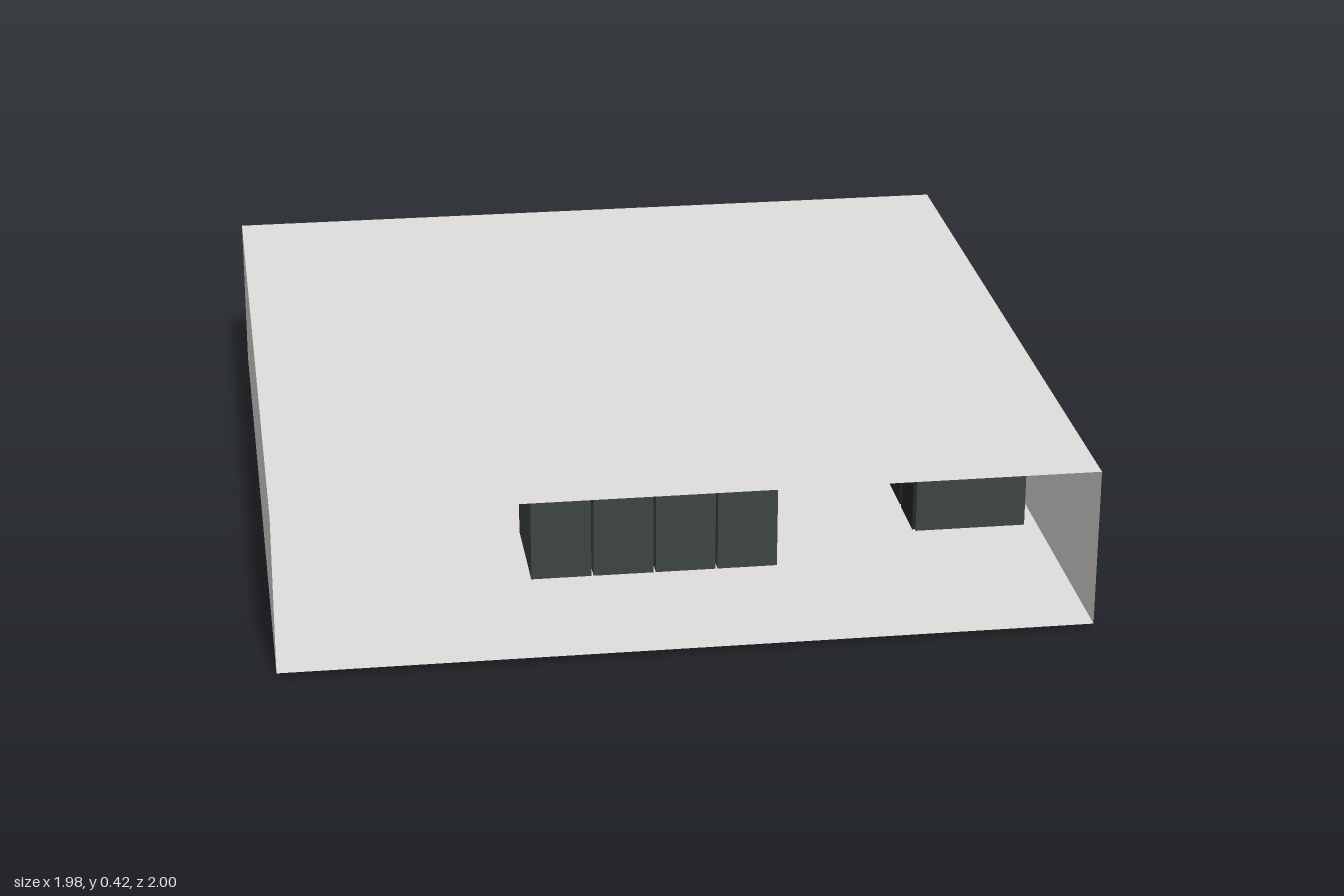
import * as THREE from 'three';

const wallMat = new THREE.MeshStandardMaterial({ color: 0xe1dfdd, side: THREE.DoubleSide });
wallMat.name = 'paleGrey';
const rackMat = new THREE.MeshStandardMaterial({ color: 0x3e4445 });
rackMat.name = 'charcoal';
const trimMat = new THREE.MeshStandardMaterial({ color: 0x26292a });
trimMat.name = 'nearBlack';
const knobMat = new THREE.MeshStandardMaterial({ color: 0x6a6a6a });
knobMat.name = 'midGrey';

const FLOOR = 0.016, TOP = 0.42, HALF_X = 0.99;
const RACK_Y = FLOOR + 0.004; // cabinets stand just clear of the floor sheet
const PITCH = 0.1567;

function box(name, w, h, d, x, y, z, mat) {
  const m = new THREE.Mesh(new THREE.BoxGeometry(w, h, d), mat);
  m.name = name;
  m.position.set(x, y, z);
  return m;
}

function panel(name, w, h, x, y, z, rx, ry) {
  const m = new THREE.Mesh(new THREE.PlaneGeometry(w, h), wallMat);
  m.name = name;
  m.position.set(x, y, z);
  m.rotation.set(rx, ry, 0);
  return m;
}

// One equipment cabinet, door towards +z, origin at floor centre
function rack(name) {
  const g = new THREE.Group();
  g.name = name;
  const w = 0.151, h = 0.295, d = 0.285;
  g.add(box('cabinet', w, h, d, 0, h / 2, 0, rackMat));
  g.add(box('door', w - 0.012, h - 0.02, 0.008, 0, h / 2 - 0.008, d / 2 + 0.004, trimMat));
  return g;
}

// A straight row of cabinets
function rackRow(name, count, x, z, dx, dz, turn) {
  const row = new THREE.Group();
  row.name = name;
  for (let i = 0; i < count; i++) {
    const r = rack('rack');
    r.position.set(x + i * dx, RACK_Y, z + i * dz);
    r.rotation.y = turn;
    row.add(r);
  }
  return row;
}

export function createModel() {
  const model = new THREE.Group();
  model.name = 'equipmentRoom';

  // Room shell, open at the front
  const H = TOP - FLOOR, midY = (TOP + FLOOR) / 2, W = HALF_X * 2;
  const room = new THREE.Group();
  room.name = 'room';
  room.add(panel('floor', W, 2, 0, FLOOR, 0, -Math.PI / 2, 0));
  room.add(panel('ceiling', W, 2, 0, TOP, 0, -Math.PI / 2, 0));
  room.add(panel('backWall', W, H, 0, midY, -1, 0, Math.PI));
  for (const s of [-1, 1]) {
    room.add(panel(s > 0 ? 'leftWall' : 'rightWall', 2, H, s * HALF_X, midY, 0, 0, s * Math.PI / 2));
  }
  model.add(room);

  // Front row with plain panels outward, then two rows with doors facing -x
  model.add(rackRow('frontRackRow', 4, -0.264, 0.437, PITCH, 0, Math.PI));
  model.add(rackRow('middleRackRow', 5, 0.125, 0.19, 0, -PITCH, -Math.PI / 2));
  model.add(rackRow('sideRackRow', 6, 0.812, 0.35, 0, -PITCH, -Math.PI / 2));

  // Small cabinet on the back wall
  const wallBox = new THREE.Group();
  wallBox.name = 'wallCabinet';
  wallBox.add(box('wallCabinetBody', 0.07, 0.09, 0.03, 0.502, 0.27, -0.984, wallMat));
  wallBox.add(box('wallCabinetLatch', 0.006, 0.006, 0.004, 0.528, 0.272, -0.967, trimMat));
  model.add(wallBox);

  // Small drain fitting beneath the floor
  const drain = new THREE.Mesh(new THREE.CylinderGeometry(0.014, 0.011, 0.015, 16), knobMat);
  drain.name = 'floorDrain';
  drain.position.set(0.208, 0.0075, 0);
  model.add(drain);

  return model;
}
